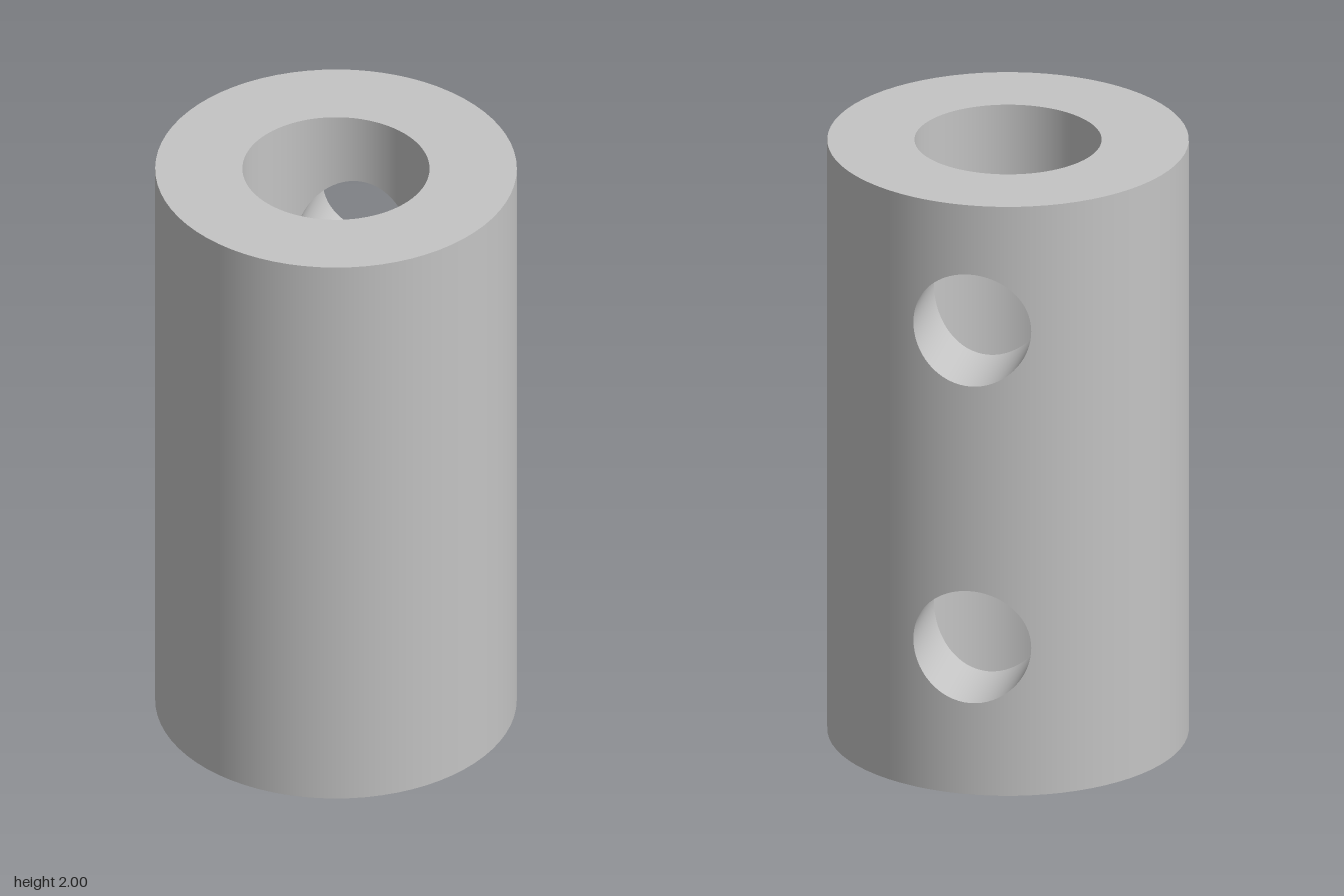
import * as THREE from 'three';

const OUTER = 0.57, INNER = 0.295, HEIGHT = 2;
const HOLE = 0.19, HOLE_Y = [0.5, 1.575];
const HOLE_STEPS = 32, REST_STEPS = 64;

// Column angles measured from the back (-z), denser across the holes
function columnAngles(radius) {
  const edge = Math.asin(HOLE / radius), angles = [];
  for (let i = 0; i < HOLE_STEPS; i++) {
    angles.push(Math.asin((-HOLE * Math.cos((i / HOLE_STEPS) * Math.PI)) / radius));
  }
  for (let i = 0; i <= REST_STEPS; i++) {
    angles.push(edge + (i / REST_STEPS) * (2 * Math.PI - 2 * edge));
  }
  return angles;
}

const onCylinder = (radius, angle, y) =>
  new THREE.Vector3(radius * Math.sin(angle), y, -radius * Math.cos(angle));

// Collects strips of quads between two rows of points, facing their normals
class Surface {
  positions = [];
  normals = [];
  index = [];
  strip(rowA, rowB, normalAt) {
    const start = this.positions.length / 3;
    rowA.forEach((p, i) => {
      for (const q of [p, rowB[i]]) {
        this.positions.push(q.x, q.y, q.z);
        this.normals.push(...normalAt(i).toArray());
      }
    });
    const point = (k) => (k % 2 ? rowB : rowA)[k >> 1];
    for (let i = 0; i < rowA.length - 1; i++) {
      const k = 2 * i;
      for (const [a, b, c] of [[k, k + 1, k + 2], [k + 2, k + 1, k + 3]]) {
        const u = point(b).clone().sub(point(a)), v = point(c).clone().sub(point(a));
        const area = u.cross(v);
        if (area.length() < 1e-9) continue;
        const order = area.dot(normalAt(i)) > 0 ? [a, b, c] : [a, c, b];
        this.index.push(...order.map((n) => n + start));
      }
    }
  }
  mesh(name, material) {
    const geometry = new THREE.BufferGeometry();
    geometry.setAttribute('position', new THREE.Float32BufferAttribute(this.positions, 3));
    geometry.setAttribute('normal', new THREE.Float32BufferAttribute(this.normals, 3));
    geometry.setIndex(this.index);
    const mesh = new THREE.Mesh(geometry, material);
    mesh.name = name;
    return mesh;
  }
}

// Cylinder wall, split into upright bands that leave the round holes open
function wall(name, radius, facing, material) {
  const surface = new Surface(), angles = columnAngles(radius);
  const half = angles.map((a, i) => {
    const x = radius * Math.sin(a);
    return i < HOLE_STEPS ? Math.sqrt(Math.max(0, HOLE * HOLE - x * x)) : 0;
  });
  const normalAt = (i) => onCylinder(facing, angles[i], 0);
  for (let band = 0; band <= HOLE_Y.length; band++) {
    const low = angles.map((a, i) =>
      onCylinder(radius, a, band ? HOLE_Y[band - 1] + half[i] : 0));
    const high = angles.map((a, i) =>
      onCylinder(radius, a, band < HOLE_Y.length ? HOLE_Y[band] - half[i] : HEIGHT));
    surface.strip(low, high, normalAt);
  }
  return surface.mesh(name, material);
}

// Flat ring closing one end
function endRing(name, y, facing, material) {
  const surface = new Surface(), up = new THREE.Vector3(0, facing, 0);
  const ring = (radius) => columnAngles(radius).map((a) => onCylinder(radius, a, y));
  surface.strip(ring(OUTER), ring(INNER), () => up);
  return surface.mesh(name, material);
}

// Lining of a screw hole, from the outer wall to the bore
function holeLining(name, y, material) {
  const surface = new Surface(), steps = HOLE_STEPS * 2;
  const angleAt = (i) => (i / steps) * 2 * Math.PI;
  const rim = (radius) => Array.from({ length: steps + 1 }, (_, i) => {
    const x = -HOLE * Math.cos(angleAt(i));
    return new THREE.Vector3(x, y + HOLE * Math.sin(angleAt(i)), -Math.sqrt(radius * radius - x * x));
  });
  surface.strip(rim(OUTER), rim(INNER), (i) =>
    new THREE.Vector3(Math.cos(angleAt(i)), -Math.sin(angleAt(i)), 0));
  return surface.mesh(name, material);
}

export function createModel() {
  const steel = new THREE.MeshStandardMaterial({ color: 0xc4c4c4 });
  steel.name = 'grey steel';

  const coupling = new THREE.Group();
  coupling.name = 'shaftCoupling';
  coupling.add(
    wall('outerWall', OUTER, 1, steel),
    wall('bore', INNER, -1, steel),
    endRing('topRing', HEIGHT, 1, steel),
    endRing('bottomRing', 0, -1, steel),
    holeLining('lowerScrewHole', HOLE_Y[0], steel),
    holeLining('upperScrewHole', HOLE_Y[1], steel),
  );
  return coupling;
}
